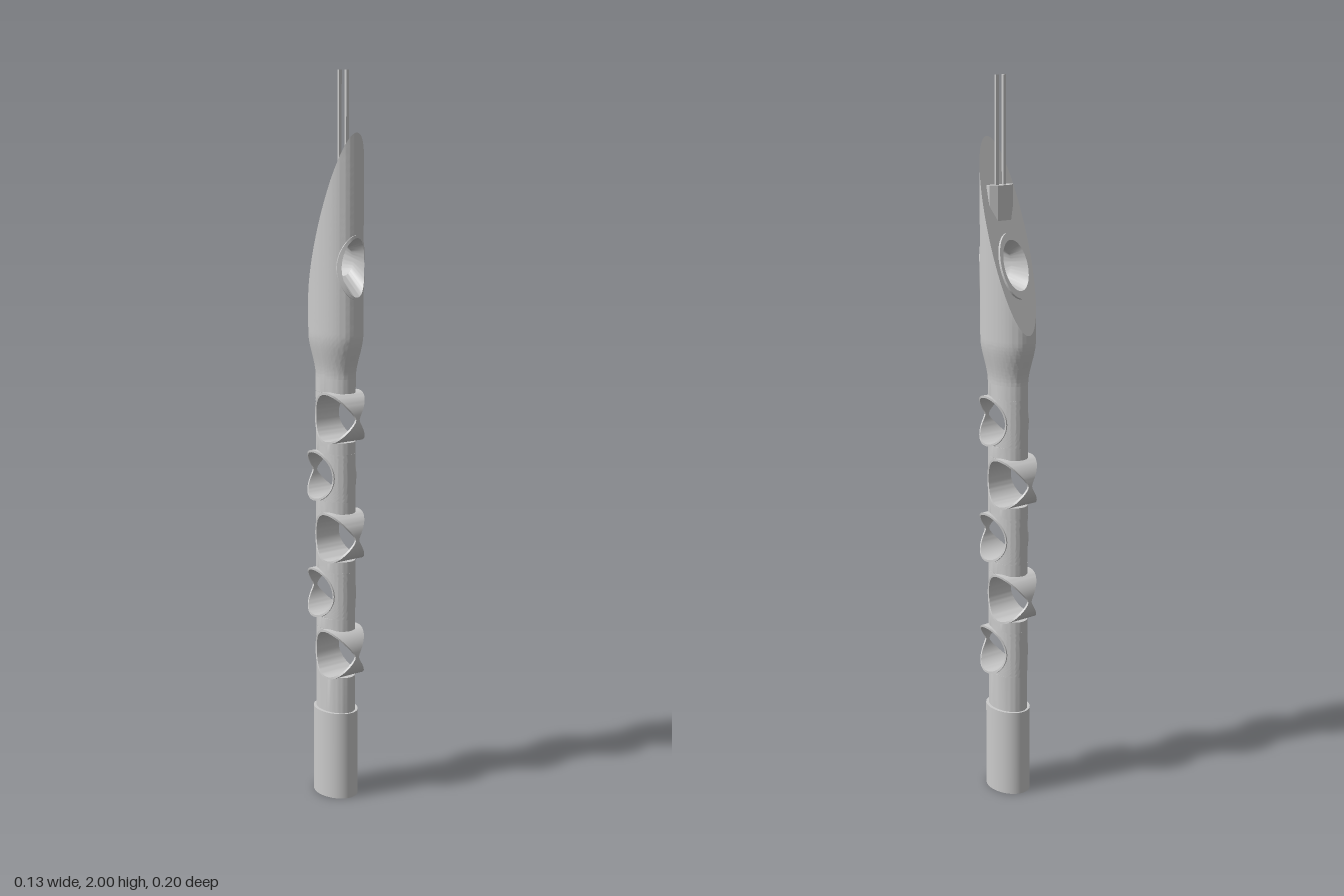
import * as THREE from 'three';
import { toCreasedNormals } from 'three/addons/utils/BufferGeometryUtils.js';

const grey = new THREE.MeshStandardMaterial({ color: 0xcccccc });
const V = (x, y, z) => new THREE.Vector3(x, y, z);
const SHAFT = { a: 0.046, b: 0.066 };
const HEAD = { a: 0.063, b: 0.09 };
const slopeY = z => 1.585 + 2.83 * z;                     // slanted roof plane
const depthAt = (x, a, b) => b * Math.sqrt(Math.max(0, 1 - (x / a) ** 2));

// Skin a list of closed loops; drops empty triangles and those inside a cut.
function loft(rows, crease = 0.6) {
  const pos = [], n = rows[0].length, t = new THREE.Triangle();
  const tri = (a, b, c) => {
    t.set(a, b, c);
    if ((a.cut && b.cut && c.cut) || t.getArea() < 1e-9) return;
    pos.push(...a.toArray(), ...b.toArray(), ...c.toArray());
  };
  for (let j = 0; j < rows.length - 1; j++) for (let i = 0; i < n; i++) {
    const k = (i + 1) % n;
    tri(rows[j][i], rows[j][k], rows[j + 1][k]);
    tri(rows[j][i], rows[j + 1][k], rows[j + 1][i]);
  }
  const geo = new THREE.BufferGeometry();
  geo.setAttribute('position', new THREE.Float32BufferAttribute(pos, 3));
  return toCreasedNormals(geo, crease);
}

const ring = (n, fn) => Array.from({ length: n }, (_, i) => fn(i / n * Math.PI * 2));

// Oval slice of the shaft, trimmed to lo..hi in z
function shaftRow(y, lo = -SHAFT.b, hi = SHAFT.b) {
  const pts = [], N = 24;
  for (const side of [1, -1]) for (let k = 0; k <= N; k++) {
    const z = (lo + hi) / 2 + side * (hi - lo) / 2 * Math.cos(k / N * Math.PI);
    pts.push(V(side * depthAt(z, SHAFT.b, SHAFT.a), y, z));
  }
  return pts;
}

// Shaft with round bites taken alternately from front and back
function shaftGeometry(holes, r) {
  const rows = [shaftRow(0.24)];
  for (const { y, z, dir } of holes) {
    rows.push(shaftRow(y - r));
    for (let k = 0; k <= 20; k++) {
      const t = k / 20 * Math.PI, edge = z - dir * r * Math.sin(t), yy = y - r * Math.cos(t);
      rows.push(dir > 0 ? shaftRow(yy, -SHAFT.b, edge) : shaftRow(yy, edge, SHAFT.b));
    }
    rows.push(shaftRow(y + r));
  }
  rows.push(shaftRow(1.22));
  return loft(rows);
}

// Saddle shaped collar: widest above and below, narrowing to a tip outside
function collarGeometry({ y, z, dir }) {
  const rows = [];
  for (let k = 0; k <= 64; k++) {
    const t = k / 64 * Math.PI * 2, c = Math.cos(t), s = Math.sin(t);
    const h = dir * (c > 0 ? 0.055 * Math.sqrt(1 - 0.99 * c * c) : 0.055 - 0.016 * c * c);
    const p = (r, x) => V(x, y + r * s, z + dir * r * c);
    rows.push([p(0.07, -h), p(0.07, h), p(0.064, h), p(0.064, -h)]);
  }
  return loft(rows);
}

// Head wall: flares out of the shaft, ends at the slanted roof, front opening
function headGeometry() {
  const rows = [], M = 90;
  for (let j = 0; j <= M; j++) rows.push(ring(112, f => {
    let y = 1.19 + (slopeY(HEAD.b * Math.cos(f)) - 1.19) * j / M;
    const s = THREE.MathUtils.smoothstep(y, 1.19, 1.31);
    const a = THREE.MathUtils.lerp(SHAFT.a, HEAD.a, s), b = THREE.MathUtils.lerp(SHAFT.b, HEAD.b, s);
    const p = V(a * Math.sin(f), y, b * Math.cos(f));
    const d = Math.hypot(p.x / 0.042, (y - 1.49) / 0.082);
    if (p.z > 0 && d < 1 && d > 0) {
      p.set(p.x / d, 1.49 + (y - 1.49) / d, 0);
      p.z = depthAt(p.x, a, b);
      p.cut = true;
    } else if (p.z > 0 && d === 0) p.cut = true;
    return p;
  }));
  return loft(rows);
}

// Slanted roof with an oval opening
function roofGeometry() {
  const oval = (a, b, z0) => ring(112, f => {
    const z = z0 + b * Math.cos(f);
    return V(a * Math.sin(f), slopeY(z), z);
  });
  return loft([oval(HEAD.a, HEAD.b, 0), oval(0.043, 0.027, -0.027)]);
}

// Passage through the head, with a lip at both ends
function passageGeometry() {
  const front = (a, h, off) => ring(64, t => {
    const x = a * Math.cos(t);
    return V(x, 1.49 + h * Math.sin(t), depthAt(x, HEAD.a, HEAD.b) + off);
  });
  const back = (a, h, off) => ring(64, t => {
    const z = -0.027 + h * Math.sin(t);
    return V(a * Math.cos(t), slopeY(z) + off * 0.33, z - off * 0.94);
  });
  const middle = ring(64, t => V(0.036 * Math.cos(t), 1.505 + 0.041 * Math.sin(t), 0.03));
  return loft([front(0.046, 0.086, -0.005), front(0.046, 0.086, 0.003), front(0.038, 0.078, 0.003),
    middle, back(0.039, 0.023, 0.008), back(0.048, 0.03, 0.008), back(0.048, 0.03, -0.004)]);
}

export function createModel() {
  const model = new THREE.Group();
  const add = (name, geo) => {
    const mesh = new THREE.Mesh(geo, grey);
    mesh.name = name;
    model.add(mesh);
  };

  // Base and shaft
  add('base', new THREE.CylinderGeometry(1, 1, 0.25, 64).scale(0.055, 1, 0.072).translate(0, 0.125, 0));
  const holes = [0, 1, 2, 3, 4].map(i => {
    const dir = i % 2 ? -1 : 1;
    return { y: 0.42 + i * 0.166, z: dir * 0.028, dir };
  });
  add('shaft', shaftGeometry(holes, 0.067));
  holes.forEach((h, i) => add('collar' + (i + 1), collarGeometry(h)));

  // Head
  add('headWall', headGeometry());
  add('slantedRoof', roofGeometry());
  add('passage', passageGeometry());

  // Roof block and twin masts
  const outline = [[-0.022, 0.014], [0.022, 0.014], [0.04, 0.028], [0.036, 0.046], [-0.036, 0.046], [-0.04, 0.028]];
  const shape = new THREE.Shape(outline.map(([x, z]) => new THREE.Vector2(x, -z)));
  add('roofBlock', new THREE.ExtrudeGeometry(shape, { depth: 0.115, bevelEnabled: false })
    .rotateX(-Math.PI / 2).translate(0, 1.602, 0));
  for (const s of [1, -1])
    add(s > 0 ? 'leftMast' : 'rightMast', new THREE.BoxGeometry(0.009, 0.3, 0.007).translate(s * 0.012, 1.85, 0.032));
  return model;
}
